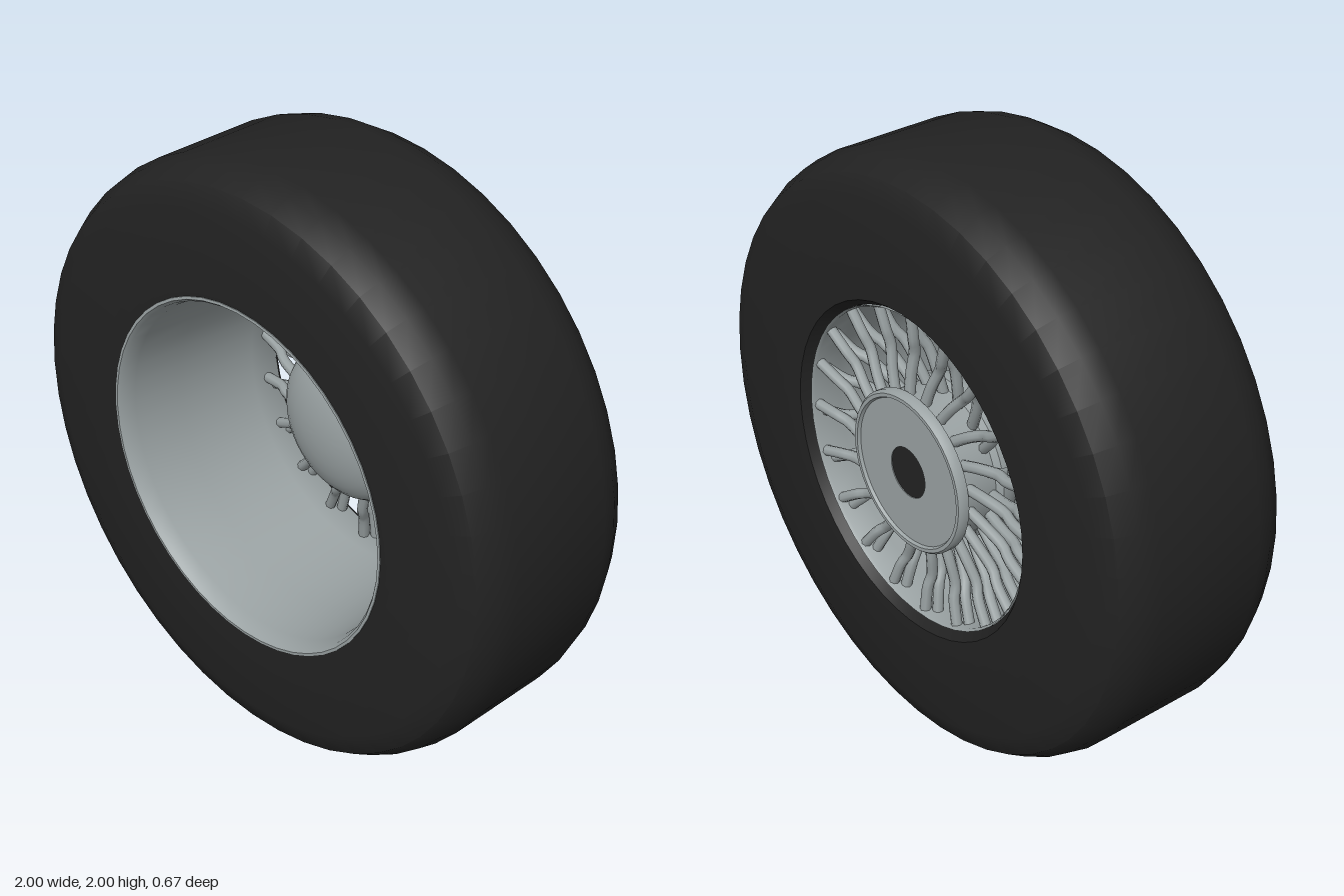
import * as THREE from 'three';
import { toCreasedNormals } from 'three/addons/utils/BufferGeometryUtils.js';

const material = (name, color) => {
  const m = new THREE.MeshStandardMaterial({ color });
  m.name = name;
  return m;
};

// Turned part: [radius, z] points spun around the z axle
function turned(name, points, mat, segments = 48) {
  const lathe = new THREE.LatheGeometry(points.map(([r, z]) => new THREE.Vector2(r, z)), segments);
  lathe.rotateX(Math.PI / 2);
  const mesh = new THREE.Mesh(toCreasedNormals(lathe, 0.7), mat);
  mesh.name = name;
  return mesh;
}

// Point in cylindrical coordinates around the axle
const polar = (r, degrees, z) => {
  const a = THREE.MathUtils.degToRad(degrees);
  return new THREE.Vector3(r * Math.cos(a), r * Math.sin(a), z);
};

export function createModel() {
  const rubber = material('black rubber', 0x222222);
  const steel = material('grey steel', 0x9aa2a3);
  steel.side = THREE.DoubleSide;

  const model = new THREE.Group();
  model.name = 'wireWheel';
  const wheel = new THREE.Group();
  wheel.name = 'wheel';
  wheel.position.y = 1;
  model.add(wheel);

  // Tyre with flat sidewalls and rounded shoulders
  wheel.add(turned('tyre', [
    [0.535, -0.3], [0.56, -0.335], [0.88, -0.335], [0.95, -0.31], [0.985, -0.25], [1, -0.19],
    [1, 0.19], [0.985, 0.25], [0.95, 0.31], [0.88, 0.335], [0.597, 0.335],
    [0.59, 0.29], [0.535, -0.3],
  ], rubber));

  // Deep rim barrel with a rolled front lip
  wheel.add(turned('rim', [
    [0.6, 0.325], [0.597, 0.337], [0.588, 0.338], [0.578, 0.325],
    [0.568, 0.28], [0.555, 0.1], [0.535, -0.2], [0.528, -0.3], [0.535, -0.31],
  ], steel));

  // Hub: rear face with raised edge, barrel, and domed front cap
  const dome = [];
  for (let i = 0; i <= 8; i++) {
    const a = (i / 8) * Math.PI / 2;
    dome.push([0.27 * Math.cos(a), -0.14 + 0.13 * Math.sin(a)]);
  }
  wheel.add(turned('hub', [
    [0.085, -0.3], [0.085, -0.325], [0.245, -0.325], [0.25, -0.335], [0.262, -0.335], [0.27, -0.325],
    [0.27, -0.3], [0.25, -0.29], [0.25, -0.18], [0.27, -0.165], ...dome,
  ], steel));

  // Dark axle bore in the rear of the hub
  const bore = new THREE.Mesh(new THREE.CircleGeometry(0.087, 32), rubber);
  bore.name = 'axleBore';
  bore.rotation.y = Math.PI;
  bore.position.z = -0.322;
  wheel.add(bore);

  // Crossed, kinked spokes in two layers
  const spokes = new THREE.Group();
  spokes.name = 'spokes';
  const layers = [
    { side: 1, hubZ: -0.19, midZ: -0.22, rimZ: -0.26 },
    { side: -1, hubZ: -0.28, midZ: -0.265, rimZ: -0.285 },
  ];
  const bundles = 20;
  for (const { side, hubZ, midZ, rimZ } of layers) {
    const path = new THREE.CatmullRomCurve3([
      polar(0.23, side * 7, hubZ),
      polar(0.32, side * 3.6, (hubZ + midZ) / 2),
      polar(0.4, side * 0.6, midZ),
      polar(0.44, -side * 0.8, (midZ + rimZ) / 2),
      polar(0.54, -side * 1.8, rimZ),
    ]);
    const tube = new THREE.TubeGeometry(path, 14, 0.018, 8);
    for (let i = 0; i < bundles; i++) {
      const spoke = new THREE.Mesh(tube, steel);
      spoke.name = side > 0 ? 'frontSpoke' : 'rearSpoke';
      spoke.rotation.z = THREE.MathUtils.degToRad(86) + (i / bundles) * Math.PI * 2;
      spokes.add(spoke);
    }
  }
  wheel.add(spokes);

  return model;
}
